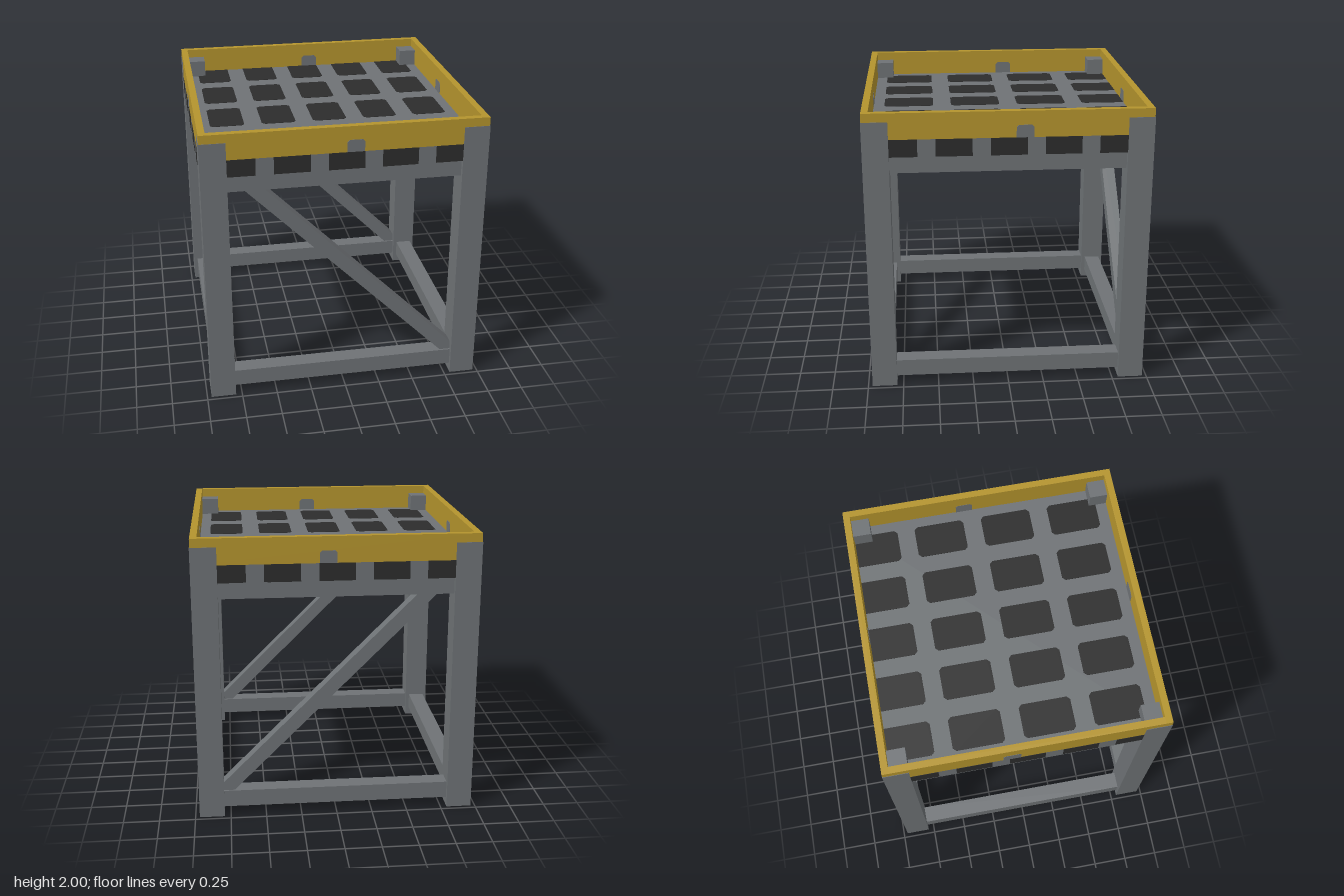
import * as THREE from 'three';

const mat = (name, color) => {
  const m = new THREE.MeshStandardMaterial({ color });
  m.name = name;
  return m;
};

export function createModel() {
  const root = new THREE.Group();
  const grey = mat('steel grey', 0x6e7275);
  const yellow = mat('safety yellow', 0xb4942d);
  const dark = mat('dark panel', 0x2c2c2c);

  const add = (name, geo, material, x, y, z) => {
    const m = new THREE.Mesh(geo, material);
    m.name = name;
    m.position.set(x, y, z);
    root.add(m);
    return m;
  };
  const box = (name, material, w, h, d, x, y, z) =>
    add(name, new THREE.BoxGeometry(w, h, d), material, x, y, z);

  // Outline with clipped corners, optionally only at the top
  const clipped = (w, h, c, topOnly = false) => {
    const a = w / 2, b = h / 2, s = topOnly ? 0 : c;
    const pts = [[-a + s, -b], [a - s, -b], [a, -b + s], [a, b - c],
      [a - c, b], [-a + c, b], [-a, b - c], [-a, -b + s]];
    return new THREE.Shape(pts.map(p => new THREE.Vector2(...p)));
  };
  const plate = (w, h, c, depth, topOnly) =>
    new THREE.ExtrudeGeometry(clipped(w, h, c, topOnly), { depth, bevelEnabled: false })
      .translate(0, 0, -depth / 2);

  const EDGE = 0.967, LEG = 0.176, RAIL = 0.12;
  const mid = 0.97 - LEG / 2, span = 2 * (0.97 - LEG);

  // Corner posts
  for (const sx of [-1, 1]) for (const sz of [-1, 1])
    box('cornerPost', grey, LEG, 1.94, LEG, sx * mid, 0.97, sz * mid);

  // Lower and upper rails, with a diagonal brace on front and back
  const from = new THREE.Vector2(-0.672, 1.64), to = new THREE.Vector2(0.85, 0.12);
  for (const s of [-1, 1]) {
    for (const y of [0.123, 1.643]) {
      box('crossRail', grey, span, RAIL, RAIL, 0, y, s * mid);
      box('sideRail', grey, RAIL, RAIL, span, s * mid, y, 0);
    }
    const brace = box('diagonalBrace', grey, from.distanceTo(to), 0.095, 0.095,
      (from.x + to.x) / 2, (from.y + to.y) / 2, s * mid);
    brace.rotation.z = Math.atan2(to.y - from.y, to.x - from.x);
  }

  // Deck slab
  const deckY = 1.76, deckH = 0.12;
  box('deck', grey, 2 * EDGE, deckH, 2 * EDGE, 0, deckY, 0);

  // Dark panels on the deck's top, underside and edges
  const columns = [-2, -1, 0, 1, 2].map(i => i * 0.364);
  const rows = [-0.788, -0.308, 0.178, 0.664];
  const panel = plate(0.24, 0.356, 0.022, 0.004).rotateX(-Math.PI / 2);
  for (const x of columns) {
    for (const z of rows) for (const s of [-1, 1])
      add('deckPanel', panel, dark, x, deckY + s * deckH / 2, z);
    for (const s of [-1, 1]) {
      box('edgePanel', dark, 0.244, deckH, 0.003, x, deckY, s * EDGE);
      box('edgePanel', dark, 0.003, deckH, 0.244, s * EDGE, deckY, x);
    }
  }

  // Yellow kick band around the deck
  const T = 0.047, bandH = 0.18, bandY = 1.91;
  for (const s of [-1, 1]) {
    box('kickBand', yellow, 2 * EDGE, bandH, T, 0, bandY, s * (EDGE - T / 2));
    box('kickBand', yellow, T, bandH, 2 * (EDGE - T), s * (EDGE - T / 2), bandY, 0);
    // Grey tabs showing on both faces of the band
    const tab = plate(0.118, 0.085, 0.015, T + 0.004, true);
    add('bandTab', tab, grey, 0.06, 1.8625, s * (EDGE - T / 2));
    add('bandTab', tab, grey, s * (EDGE - T / 2), 1.8625, -0.107).rotation.y = Math.PI / 2;
  }
  return root;
}
